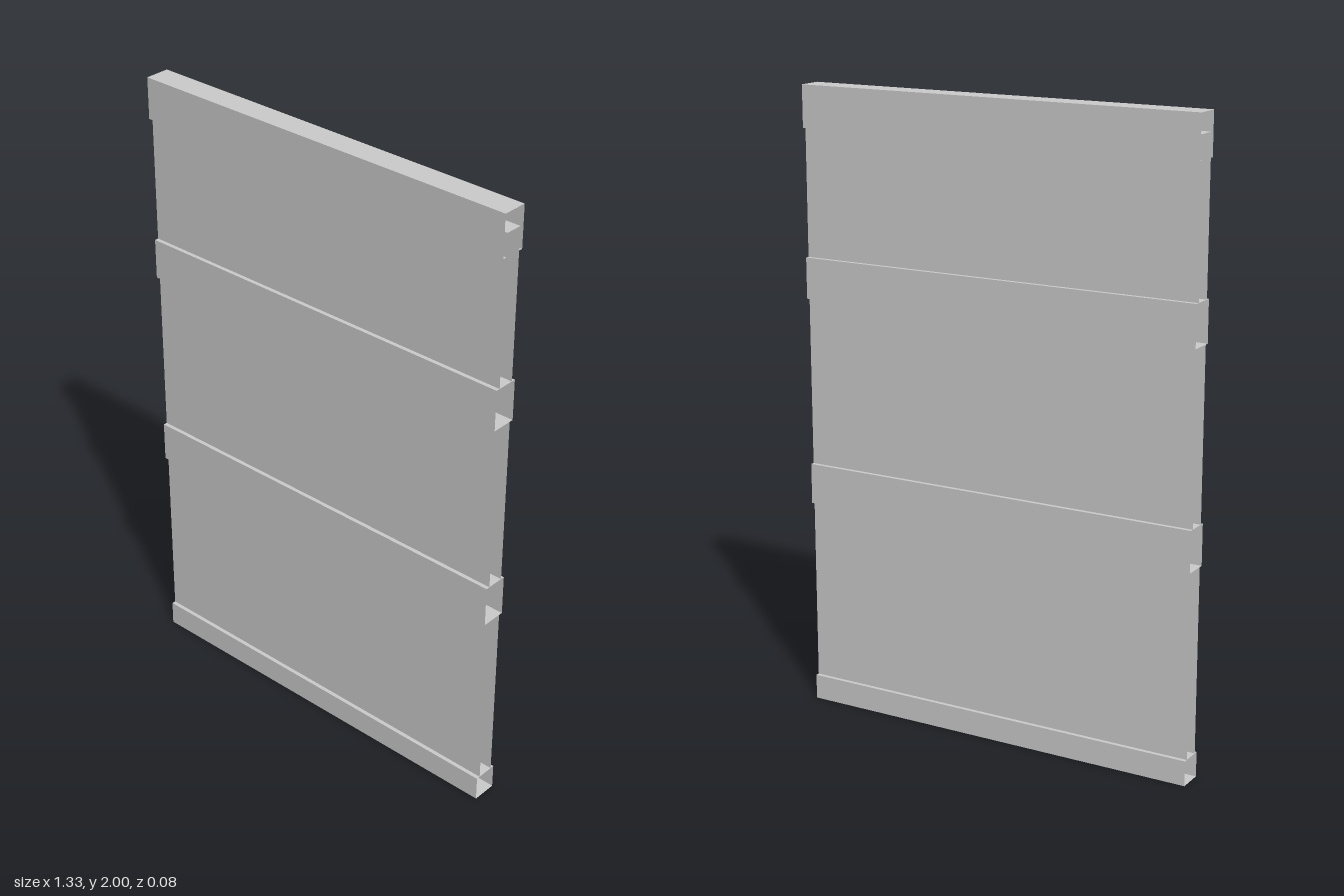
import * as THREE from 'three';

const WIDTH = 1.333;
const RAIL_Z = 0.04;   // half depth of the rails
const PANEL_Z = 0.027; // half depth of the panels
const material = new THREE.MeshStandardMaterial({
  color: 0xcccccc, side: THREE.DoubleSide, flatShading: true,
});

// Sweeps an outline of [z, y] points along x, leaving both ends open
function openProfile(name, outline, closed) {
  const positions = [];
  const h = WIDTH / 2;
  const count = closed ? outline.length : outline.length - 1;
  for (let i = 0; i < count; i++) {
    const [z0, y0] = outline[i];
    const [z1, y1] = outline[(i + 1) % outline.length];
    const a = [-h, y0, z0], b = [h, y0, z0], c = [h, y1, z1], d = [-h, y1, z1];
    positions.push(...a, ...b, ...c, ...a, ...c, ...d);
  }
  const geometry = new THREE.BufferGeometry();
  geometry.setAttribute('position', new THREE.Float32BufferAttribute(positions, 3));
  geometry.computeVertexNormals();
  const mesh = new THREE.Mesh(geometry, material);
  mesh.name = name;
  return mesh;
}

// Outline running up the front, over the top and down the back
const box = (z, y0, y1) => [[z, y0], [z, y1], [-z, y1], [-z, y0]];

export function createModel() {
  const model = new THREE.Group();
  model.name = 'slattedPanel';

  // Hollow rails, open at both ends
  model.add(openProfile('bottomRail', box(RAIL_Z, 0, 0.08), true));
  model.add(openProfile('lowerRail', box(RAIL_Z, 0.67, 0.8), true));
  model.add(openProfile('upperRail', box(RAIL_Z, 1.337, 1.467), true));

  // Top cap with lips turned in to meet the panel
  model.add(openProfile('topRail', [
    [PANEL_Z, 1.868], ...box(RAIL_Z, 1.868, 2), [-PANEL_Z, 1.868],
  ], false));

  // Panels between the rails; the top one reaches up into the cap
  const spans = [[0.08, 0.67], [0.8, 1.337], [1.467, 1.94]];
  spans.forEach(([y0, y1], i) => {
    const name = ['lowerPanel', 'middlePanel', 'upperPanel'][i];
    if (i === 2) {
      model.add(openProfile(name, box(PANEL_Z, y0, y1), false));
      return;
    }
    // Front and back skins only, as the rails close the top and bottom
    const panel = new THREE.Group();
    panel.name = name;
    panel.add(openProfile('frontSkin', [[PANEL_Z, y0], [PANEL_Z, y1]], false));
    panel.add(openProfile('backSkin', [[-PANEL_Z, y1], [-PANEL_Z, y0]], false));
    model.add(panel);
  });

  return model;
}
